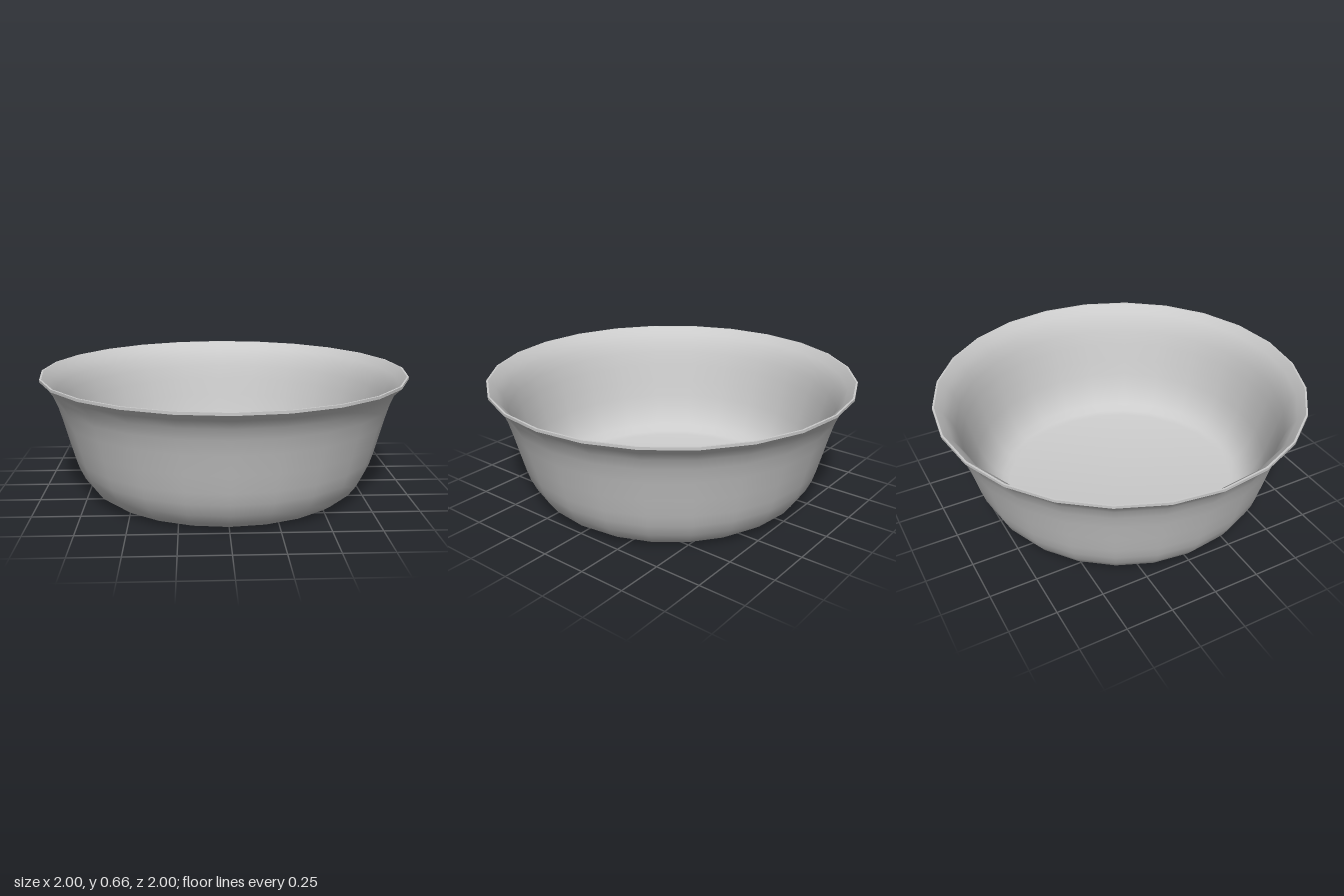
import * as THREE from 'three';
import { toCreasedNormals } from 'three/addons/utils/BufferGeometryUtils.js';

const SIDES = 24;

export function createModel() {
  const group = new THREE.Group();
  group.name = 'bowl';

  // Outer wall: flat base, rounded foot, sloping side, flared rim
  const outer = [
    [0, 0], [0.66, 0], [0.7, 0.012], [0.745, 0.045], [0.785, 0.1], [0.815, 0.165],
    [0.835, 0.23], [0.86, 0.325], [0.887, 0.43], [0.91, 0.51], [0.935, 0.57],
    [0.965, 0.615], [1, 0.648],
  ];
  // Thin lip, then the inner wall back down to the floor
  const inner = [
    [1, 0.662], [0.99, 0.662], [0.95, 0.622], [0.92, 0.575], [0.895, 0.513],
    [0.872, 0.432], [0.845, 0.328], [0.82, 0.235], [0.8, 0.173], [0.77, 0.11],
    [0.733, 0.06], [0.692, 0.03], [0.655, 0.02], [0, 0.02],
  ];
  const profile = [...outer, ...inner].map(([r, y]) => new THREE.Vector2(r, y));

  const geometry = toCreasedNormals(new THREE.LatheGeometry(profile, SIDES), Math.PI / 5);
  const shell = new THREE.Mesh(geometry, new THREE.MeshStandardMaterial({ color: 0xcccccc }));
  shell.name = 'bowlShell';
  group.add(shell);
  return group;
}
